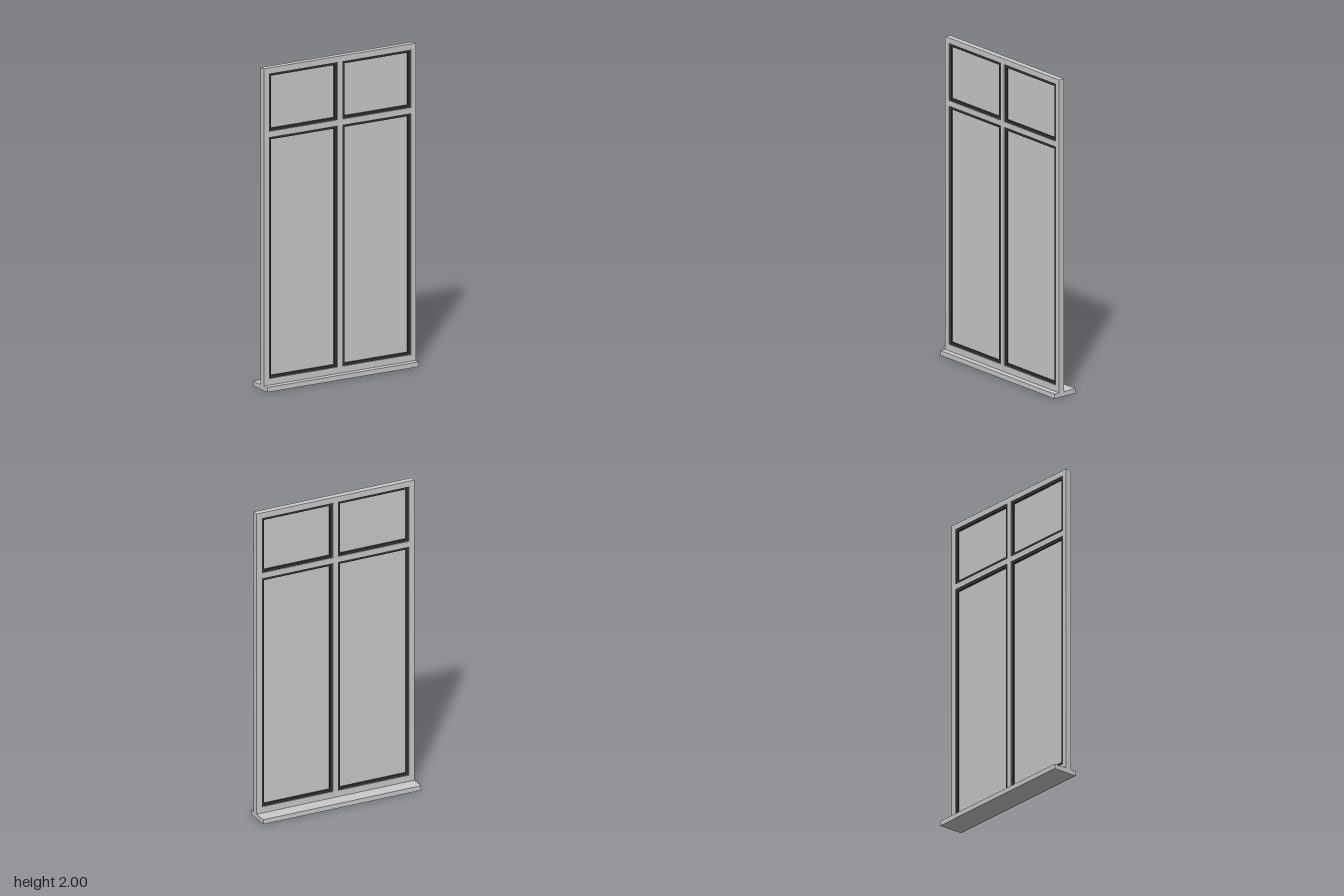
import * as THREE from 'three';

const grey = new THREE.MeshStandardMaterial({ color: 0xcccccc });
const dark = new THREE.MeshStandardMaterial({ color: 0x333333 });

// Trace a rectangle onto a Shape or Path
function rect(path, [x0, y0, x1, y1]) {
  path.moveTo(x0, y0);
  path.lineTo(x1, y0);
  path.lineTo(x1, y1);
  path.lineTo(x0, y1);
  path.closePath();
  return path;
}

// Flat board with rectangular holes, centred on depth z
function board(name, outer, holes, depth, z, material) {
  const shape = rect(new THREE.Shape(), outer);
  shape.holes = holes.map((h) => rect(new THREE.Path(), h));
  const geometry = new THREE.ExtrudeGeometry(shape, { depth, bevelEnabled: false });
  geometry.translate(0, 0, z - depth / 2);
  const mesh = new THREE.Mesh(geometry, material);
  mesh.name = name;
  return mesh;
}

export function createModel() {
  const model = new THREE.Group();
  model.name = 'window';
  const z = 0.026;
  const sillHeight = 0.03;
  const bead = 0.017;

  // Openings: tall lower lights and short upper lights, mirrored left and right
  const openings = [];
  for (const [y0, y1] of [[0.07, 1.57], [1.605, 1.965]]) {
    openings.push([0.018, y0, 0.495, y1], [-0.495, y0, -0.018, y1]);
  }

  // Outer frame with mullion and transom
  model.add(board('frame', [-0.53, sillHeight, 0.53, 2], openings, 0.038, z, grey));

  // Dark glazing beads and panes set into each opening
  for (const o of openings) {
    const inner = [o[0] + bead, o[1] + bead, o[2] - bead, o[3] - bead];
    model.add(board('glazingBead', o, [inner], 0.026, z, dark));
    model.add(board('pane', inner, [], 0.008, z, grey));
  }

  // Sill
  const sill = new THREE.Mesh(new THREE.BoxGeometry(1.06, sillHeight, 0.164), grey);
  sill.name = 'sill';
  sill.position.y = sillHeight / 2;
  model.add(sill);

  return model;
}
